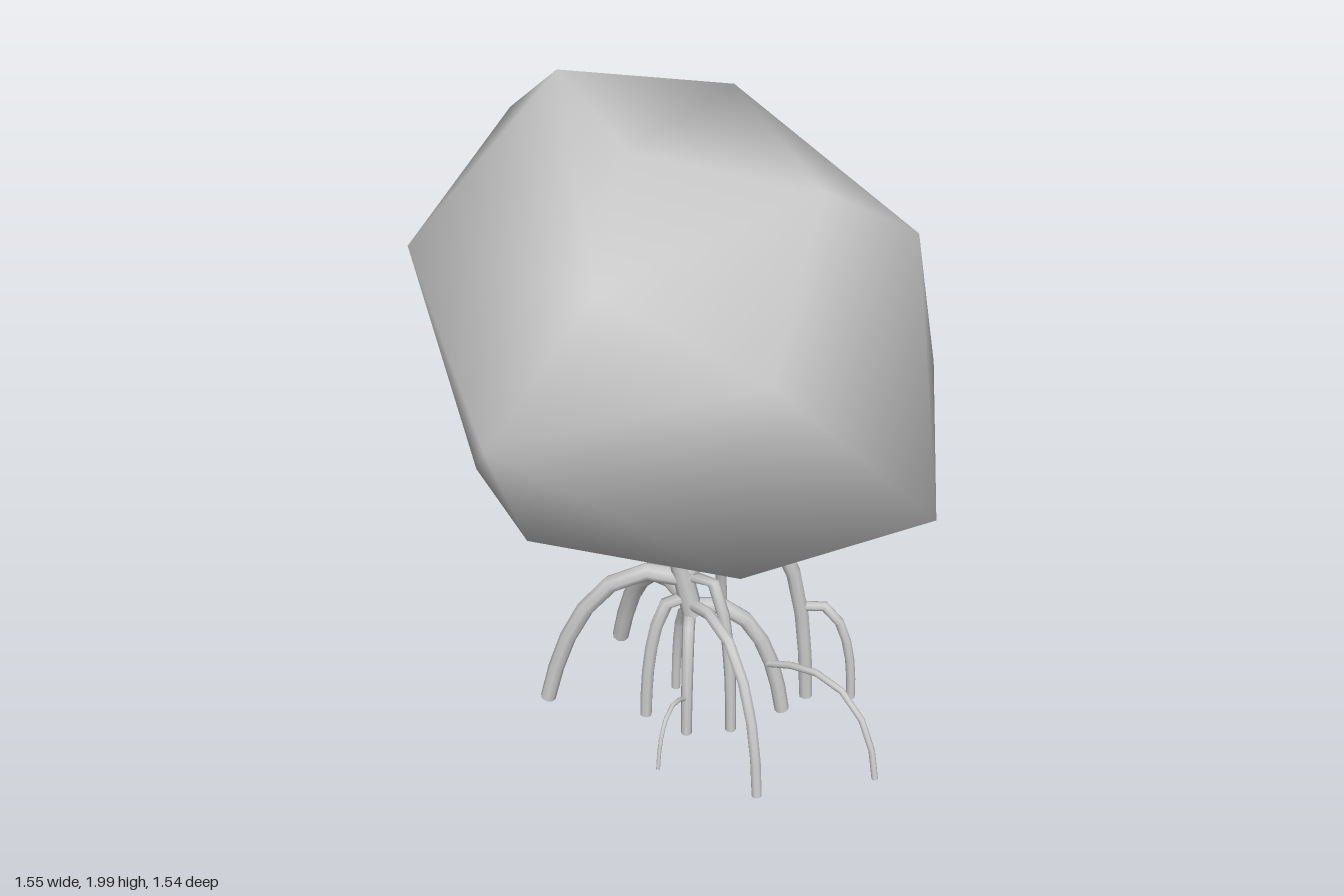
import * as THREE from 'three';
import { ConvexGeometry } from 'three/addons/geometries/ConvexGeometry.js';
import { mergeVertices } from 'three/addons/utils/BufferGeometryUtils.js';

const material = new THREE.MeshStandardMaterial({ color: 0xcccccc, side: THREE.DoubleSide });
const vec = (x, y, z) => new THREE.Vector3(x, y, z);

// Tapering, slightly kinked limb through the given points, closed with a disc at its far end
function limb(name, points, r0, r1) {
  const group = new THREE.Group();
  group.name = name;
  const curve = new THREE.CatmullRomCurve3(points, false, 'centripetal');
  const segments = 6;
  const sides = 8;
  const geometry = new THREE.TubeGeometry(curve, segments, 1, sides, false);
  const position = geometry.attributes.position;
  const v = vec(0, 0, 0);
  for (let i = 0; i < position.count; i++) {
    const t = Math.floor(i / (sides + 1)) / segments;
    const centre = curve.getPointAt(t);
    v.fromBufferAttribute(position, i).sub(centre);
    v.multiplyScalar(THREE.MathUtils.lerp(r0, r1, t)).add(centre);
    position.setXYZ(i, v.x, v.y, v.z);
  }
  group.add(new THREE.Mesh(geometry, material));

  const cap = new THREE.Mesh(new THREE.CircleGeometry(r1, sides), material);
  cap.position.copy(curve.getPointAt(1));
  cap.quaternion.setFromUnitVectors(vec(0, 0, 1), curve.getTangentAt(1));
  group.add(cap);
  return group;
}

// Prop root: an elliptic arc from start down to foot, arched upward by lift;
// sweep is the arc in degrees, 90 reaching the ground upright
function propRoot(start, foot, lift, radius, sweep) {
  const points = [];
  const steps = 6;
  const end = THREE.MathUtils.degToRad(sweep);
  for (let i = 0; i <= steps; i++) {
    const t = i / steps;
    const p = start.clone().lerp(foot, Math.sin(t * end) / Math.sin(end));
    const fall = (1 - Math.cos(t * end)) / (1 - Math.cos(end));
    p.y = THREE.MathUtils.lerp(start.y, foot.y, fall) + lift * Math.sin(Math.PI * t);
    points.push(p);
  }
  return limb('propRoot', points, radius, radius * 0.85);
}

// Faceted, smooth-shaded canopy with a hollow underside
function canopy() {
  const top = [vec(-0.43, 2, -0.13), vec(-0.01, 1.96, 0.13), vec(0.36, 1.84, -0.18),
    vec(-0.17, 1.88, -0.58), vec(0.2, 1.82, 0.55)];
  const belt = [vec(-0.78, 1.75, -0.35), vec(-0.66, 1.5, -0.52), vec(0.15, 1.26, -0.76),
    vec(0.5, 1.67, -0.43), vec(0.56, 1.3, -0.46), vec(0.59, 1.64, 0.41), vec(0.04, 1.46, 0.77),
    vec(-0.55, 1.65, 0.35), vec(0.04, 1.13, 0.63)];
  const rim = [vec(0.77, 1.06, -0.12), vec(0.32, 1.02, -0.46), vec(-0.28, 1.16, -0.77),
    vec(-0.6, 1.16, -0.48), vec(-0.68, 1.16, -0.13), vec(-0.32, 1.085, 0.4), vec(0.5, 1.06, 0.38)];
  const hull = new ConvexGeometry([...top, ...belt, ...rim]).attributes.position;
  const faces = [];
  for (let i = 0; i < hull.count; i += 3) {
    const face = [0, 1, 2].map((k) => vec(0, 0, 0).fromBufferAttribute(hull, i + k));
    const spansOpening = face.every((p) => p.y < 1.2 && p.z < 0.5);
    if (!spansOpening) faces.push(...face);
  }

  // Hollow: the rim rises inward through a smaller ring to a peak
  const peak = vec(0, 1.38, -0.1);
  const ring = rim.map((p) => p.clone().lerp(peak, 0.36).setY(p.y + 0.13));
  rim.forEach((a, i) => {
    const j = (i + 1) % rim.length;
    faces.push(rim[j], a, ring[i], rim[j], ring[i], ring[j], ring[j], ring[i], peak);
  });

  const geometry = mergeVertices(new THREE.BufferGeometry().setFromPoints(faces), 1e-4);
  geometry.computeVertexNormals();
  const mesh = new THREE.Mesh(geometry, material);
  mesh.name = 'canopy';
  return mesh;
}

export function createModel() {
  const tree = new THREE.Group();
  tree.name = 'mangroveTree';
  tree.add(canopy());

  // Trunk and its two branches
  tree.add(limb('trunk', [vec(0.01, 0.42, -0.14), vec(-0.03, 0.62, -0.12), vec(-0.06, 0.85, -0.08), vec(-0.07, 1.33, -0.06)], 0.032, 0.02));
  tree.add(limb('leftBranch', [vec(-0.03, 0.66, -0.12), vec(0, 0.82, -0.11), vec(0.08, 0.98, -0.09), vec(0.17, 1.07, -0.07), vec(0.34, 1.25, -0.03)], 0.022, 0.014));
  tree.add(limb('rightBranch', [vec(-0.06, 0.82, -0.09), vec(-0.11, 0.91, -0.17), vec(-0.14, 1.03, -0.2), vec(-0.15, 1.28, -0.21)], 0.016, 0.012));

  // Main roots leave the trunk: foot x, y, z, height on trunk, lift, radius, sweep
  const mainRoots = [
    [-0.4, 0.03, 0.05, 0.54, 0.06, 0.028, 68],
    [-0.4, 0.03, -0.33, 0.46, 0.05, 0.031, 62],
    [-0.18, 0.01, -0.6, 0.58, 0.09, 0.02, 78],
    [0.25, 0.03, -0.42, 0.57, 0.24, 0.025, 85],
    [0.37, 0.03, 0.05, 0.45, 0.1, 0.018, 85],
    [0.23, 0.04, -0.31, 0.44, 0.04, 0.026, 75],
    [-0.09, 0.05, -0.04, 0.48, 0.05, 0.021, 90],
    [0.06, 0.05, -0.04, 0.42, 0.04, 0.019, 90],
    [0.16, 0.05, -0.13, 0.55, 0.1, 0.019, 90],
    [-0.09, 0.05, -0.2, 0.4, 0.03, 0.017, 90],
  ];
  for (const [x, y, z, height, lift, radius, sweep] of mainRoots) {
    tree.add(propRoot(vec(0, height, -0.14), vec(x, y, z), lift, radius, sweep));
  }

  // Side roots leave other roots
  tree.add(propRoot(vec(0.23, 0.38, -0.4), vec(0.38, 0.05, -0.47), 0.05, 0.016, 90));
  tree.add(propRoot(vec(0.2, 0.23, -0.27), vec(0.62, 0.04, -0.2), 0.11, 0.011, 85));
  tree.add(propRoot(vec(0.055, 0.18, -0.04), vec(0.09, 0.06, 0.15), 0.07, 0.007, 85));
  return tree;
}
